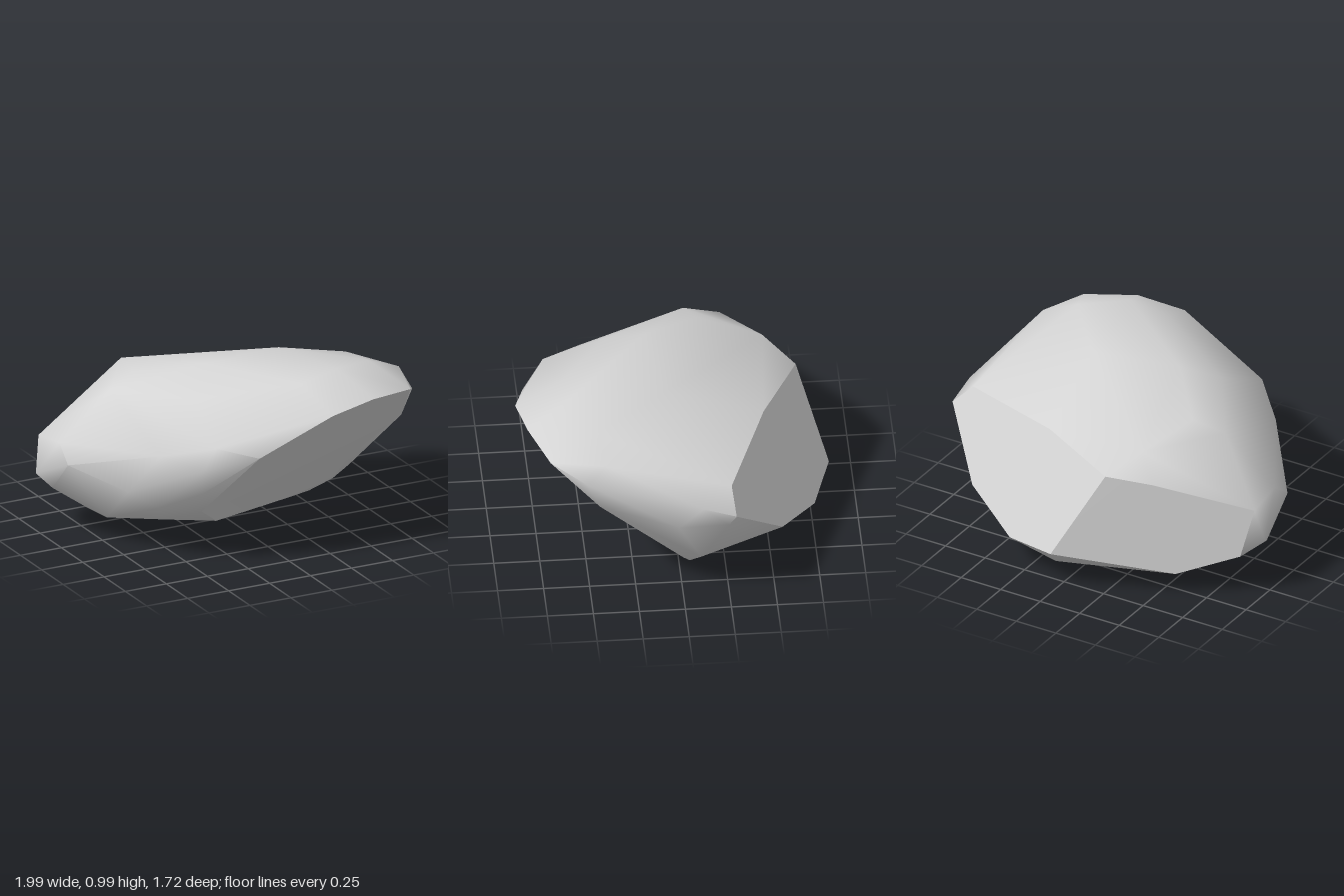
import * as THREE from 'three';
import { ConvexGeometry } from 'three/addons/geometries/ConvexGeometry.js';
import { toCreasedNormals } from 'three/addons/utils/BufferGeometryUtils.js';

// Broad flat cuts: corners are [x, y], and z = z0 + dx * x + dy * y
const cuts = [
  {
    name: 'frontCut', z0: 0.118, dx: -0.287, dy: 0.955, side: 1,
    corners: [[-0.4, 0.27], [-0.2, 0.64], [0.21, 0.84], [0.48, 0.875], [0.76, 0.85],
      [0.84, 0.6], [0.62, 0.31], [0.3, 0.1], [-0.2, 0.11]],
  },
  {
    name: 'backCut', z0: -0.985, dx: 0.388, dy: 0.535, side: -1,
    corners: [[0.02, 0.22], [0.34, 0.18], [0.7, 0.3], [0.99, 0.6],
      [0.87, 0.72], [0.25, 0.75], [-0.23, 0.7]],
  },
  {
    name: 'rightBackCut', z0: -0.866, dx: -0.503, dy: 0.071, side: -1,
    corners: [[-0.46, 0.66], [-0.96, 0.53], [-0.9, 0.25], [-0.59, 0.13]],
  },
];

// Remaining corners of the worn, rounded body
const crown = [
  [0.38, 0.99, 0.58], [-0.2, 0.97, 0.13], [0.64, 0.95, 0.45], [0.84, 0.87, 0.42],
  [0.15, 0.95, 0.6], [0.3, 0.95, 0.05], [-0.36, 0.81, -0.53], [-0.47, 0.87, -0.18],
  [-0.64, 0.81, -0.12], [-0.35, 0.85, 0.32],
];
const girth = [
  [-1, 0.33, -0.3], [-0.95, 0.56, -0.12], [-0.96, 0.47, 0], [-0.95, 0.27, -0.2],
  [-0.62, 0.61, 0.44], [-0.62, 0.3, 0.41], [-0.4, 0.69, 0.66], [-0.46, 0.56, 0.63],
  [-0.46, 0.42, 0.61], [-0.74, 0.37, 0.28],
  [0.87, 0.77, 0.52], [0.99, 0.66, -0.1], [0.96, 0.52, 0.03], [0.98, 0.54, -0.24],
];
const underside = [
  [-0.74, 0.12, -0.2], [-0.74, 0.14, 0.03], [-0.46, 0.07, -0.1], [-0.5, 0.16, 0.25],
  [0.3, 0, -0.15], [0.38, 0.01, -0.45], [0.1, 0.06, -0.67],
  [0.54, 0.04, -0.06], [0.68, 0.09, -0.05], [0.76, 0.17, -0.01], [0.84, 0.23, -0.1],
];

export function createModel() {
  const stone = new THREE.MeshStandardMaterial({ color: 0xd4d4d4 });
  stone.name = 'pale stone grey';

  const points = [...crown, ...girth, ...underside].map((p) => new THREE.Vector3(...p));
  for (const { corners, z0, dx, dy } of cuts) {
    points.push(...corners.map(([x, y]) => new THREE.Vector3(x, y, z0 + dx * x + dy * y)));
  }
  const hull = new ConvexGeometry(points);

  // Sort the faces of the hull into the flat cuts and the worn body
  const normals = cuts.map(({ dx, dy, side }) =>
    new THREE.Vector3(-dx, -dy, 1).multiplyScalar(side).normalize());
  const parts = [...cuts.map((cut) => cut.name), 'wornBody'].map((name) => ({ name, coords: [] }));
  const position = hull.attributes.position;
  const triangle = new THREE.Triangle();
  const normal = new THREE.Vector3();
  for (let i = 0; i < position.count; i += 3) {
    triangle.setFromAttributeAndIndices(position, i, i + 1, i + 2);
    triangle.getNormal(normal);
    const cut = normals.findIndex((n) => n.dot(normal) > 0.99);
    const part = parts[cut < 0 ? cuts.length : cut];
    part.coords.push(...triangle.a, ...triangle.b, ...triangle.c);
  }

  // Each part is shaded smoothly on its own, so the cuts keep crisp rims
  const group = new THREE.Group();
  group.name = 'rock';
  for (const { name, coords } of parts) {
    const geometry = new THREE.BufferGeometry();
    geometry.setAttribute('position', new THREE.Float32BufferAttribute(coords, 3));
    const mesh = new THREE.Mesh(toCreasedNormals(geometry, 1.1), stone);
    mesh.name = name;
    group.add(mesh);
  }
  return group;
}
